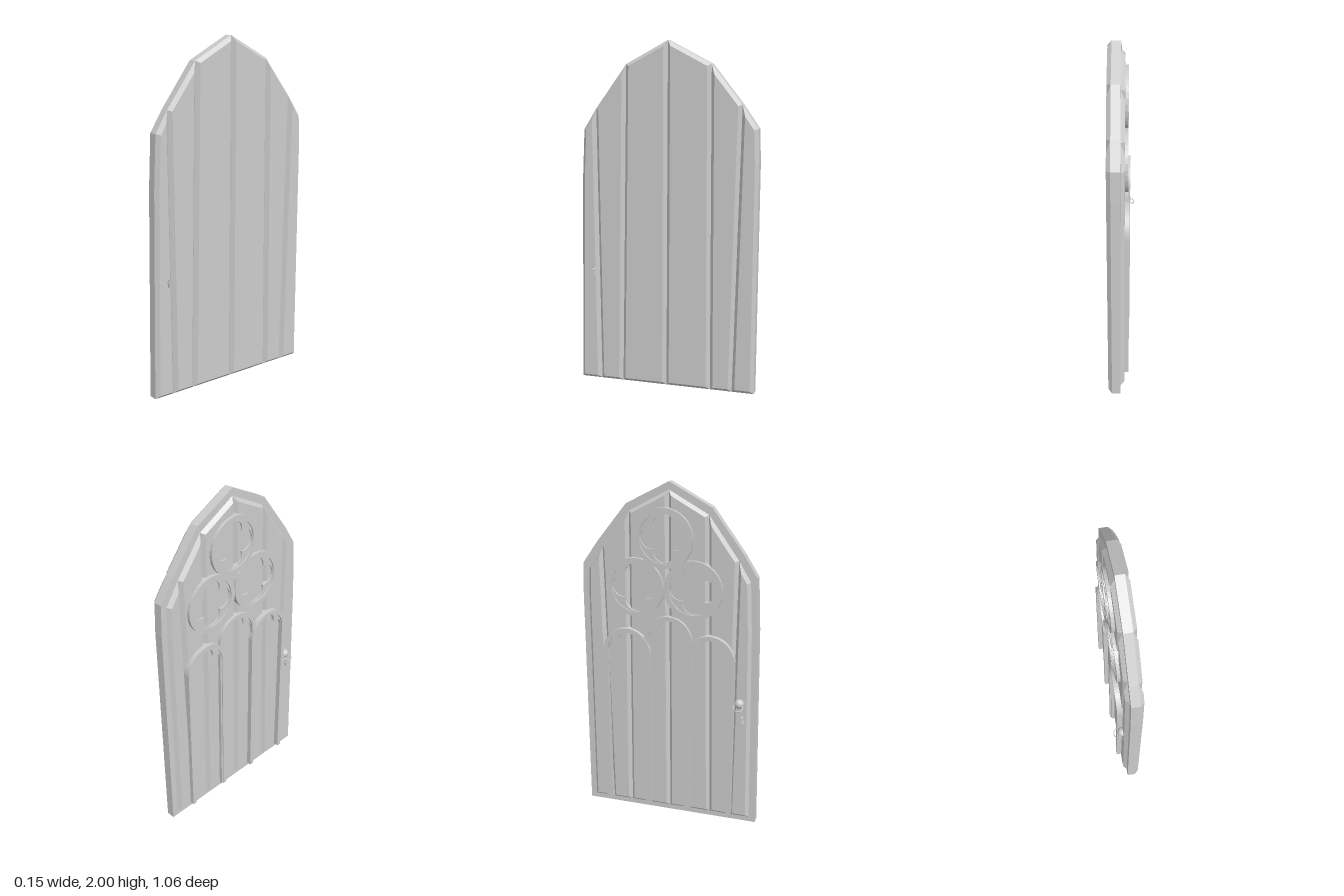
import * as THREE from 'three';

const mat = new THREE.MeshStandardMaterial({ color: 0xcccccc, flatShading: true });
const smooth = new THREE.MeshStandardMaterial({ color: 0xcccccc });
const V = (x, y) => new THREE.Vector2(x, y);

// Door silhouette as [z, y]; each groove runs from the bottom edge to an outline corner
const tops = [[0.425, 1.62], [0.24, 1.87], [-0.005, 2], [-0.255, 1.87], [-0.43, 1.65]];
const feet = [0.41, 0.275, 0.005, -0.26, -0.39];
const leftEdge = [[0.535, 0], [0.515, 1.2], [0.5, 1.5]];
const rightEdge = [[-0.52, 1.52], [-0.527, 1.34], [-0.52, 0]];
const outline = [...leftEdge, ...tops, ...rightEdge];
const planks = [
  [...leftEdge, tops[0], [feet[0], 0]],
  ...[0, 1, 2, 3].map(i => [[feet[i], 0], tops[i], tops[i + 1], [feet[i + 1], 0]]),
  [[feet[4], 0], tops[4], ...rightEdge],
];

function add(parent, geometry, name, material = mat) {
  const mesh = new THREE.Mesh(geometry, material);
  mesh.name = name;
  parent.add(mesh);
  return mesh;
}

function extrude(shape, from, to, curveSegments = 16) {
  return new THREE.ExtrudeGeometry(shape, { depth: to - from, bevelEnabled: false, curveSegments })
    .translate(0, 0, from);
}

const ccw = pts => (THREE.ShapeUtils.isClockWise(pts) ? pts.slice().reverse() : pts);

// Keyhole: round top with a slot below
function keyhole(cx) {
  const pts = [V(cx - 0.006, 0.645), V(cx + 0.006, 0.645)];
  for (let i = 0; i <= 10; i++) {
    const a = -1 + i / 10 * (Math.PI + 2);
    pts.push(V(cx + 0.011 * Math.cos(a), 0.68 + 0.011 * Math.sin(a)));
  }
  return ccw(pts);
}

// Move every edge of a counter-clockwise polygon inwards by d
function inset(pts, d) {
  const n = pts.length;
  return pts.map((p, i) => {
    const e1 = p.clone().sub(pts[(i + n - 1) % n]).normalize();
    const e2 = pts[(i + 1) % n].clone().sub(p).normalize();
    const n1 = V(-e1.y, e1.x), n2 = V(-e2.y, e2.x);
    return p.clone().addScaledVector(n1.clone().add(n2), d / (1 + n1.dot(n2)));
  });
}

// Raised board with sloping edges, optionally pierced
function board(pts, z0, z1, bevel, hole) {
  const low = ccw(pts), high = inset(low, bevel), pos = [];
  const wall = (a, b) => a.forEach((p, i) => {
    const j = (i + 1) % a.length, q = a[j], r = b[j], s = b[i];
    pos.push(p.x, p.y, z0, q.x, q.y, z0, r.x, r.y, z1, p.x, p.y, z0, r.x, r.y, z1, s.x, s.y, z1);
  });
  wall(low, high);
  const shape = new THREE.Shape(high);
  if (hole) {
    const inner = hole.slice().reverse();
    wall(inner, inner);
    shape.holes.push(new THREE.Path(hole));
  }
  const lid = new THREE.ShapeGeometry(shape).translate(0, 0, z1).toNonIndexed();
  pos.push(...lid.attributes.position.array);
  const g = new THREE.BufferGeometry();
  g.setAttribute('position', new THREE.Float32BufferAttribute(pos, 3));
  g.computeVertexNormals();
  return g;
}

// Scalloped curve with a lobe every quarter turn
function foil(scale, arc, steps) {
  const pts = [], d = 0.075, r = 0.062;
  for (let i = 0; i <= steps; i++) {
    const a = arc * i / steps;
    const t = a - Math.round(a / (Math.PI / 2)) * Math.PI / 2;
    const rad = scale * (d * Math.cos(t) + Math.sqrt(r * r - (d * Math.sin(t)) ** 2));
    pts.push(V(rad * Math.cos(a), rad * Math.sin(a)));
  }
  return pts;
}

// Round window: outer ring and thinner four-lobed plate
function roundel(parent, z, y) {
  const group = new THREE.Group();
  group.name = 'roundTracery';
  group.position.set(z, y, 0);
  parent.add(group);
  const ring = new THREE.Shape().absarc(0, 0, 0.17, 0, Math.PI * 2);
  ring.holes.push(new THREE.Path().absarc(0, 0, 0.142, 0, Math.PI * 2, true));
  add(group, extrude(ring, 0.005, 0.04), 'tracery ring');
  const plate = new THREE.Shape().absarc(0, 0, 0.15, 0, Math.PI * 2);
  plate.holes.push(new THREE.Path(foil(1, Math.PI * 2, 64).slice(0, -1)));
  add(group, extrude(plate, 0.005, 0.032), 'four-lobed plate');
}

// Tall arch: two shafts and a round head with cusps
function lancet(parent, z, spring, depth) {
  const R = 0.143, r = 0.117, foot = 0.05 - spring;
  const group = new THREE.Group();
  group.name = 'lancetArch';
  group.position.set(z, spring, 0);
  parent.add(group);
  const band = new THREE.Shape();
  band.moveTo(R, foot);
  band.lineTo(R, 0);
  band.absarc(0, 0, R, 0, Math.PI);
  band.lineTo(-R, foot);
  band.lineTo(-r, foot);
  band.lineTo(-r, 0);
  band.absarc(0, 0, r, Math.PI, 0, true);
  band.lineTo(r, foot);
  add(group, extrude(band, 0.005, depth), 'arch band');
  const cusps = new THREE.Shape().absarc(0, 0, 0.122, 0, Math.PI);
  foil(0.85, Math.PI, 32).reverse().forEach(p => cusps.lineTo(p.x, p.y));
  add(group, extrude(cusps, 0.005, depth - 0.01), 'arch cusps');
}

export function createModel() {
  const door = new THREE.Group();
  door.name = 'door';

  // Plain side faces +x, carved side faces -x
  const plain = new THREE.Group();
  plain.name = 'plainSide';
  plain.rotation.y = Math.PI / 2;
  const carved = new THREE.Group();
  carved.name = 'carvedSide';
  carved.rotation.y = -Math.PI / 2;
  door.add(plain, carved);

  // Core slab
  const slab = new THREE.Shape(ccw(outline.map(([z, y]) => V(-z, y))));
  slab.holes.push(new THREE.Path(keyhole(-0.447)));
  add(plain, extrude(slab, 0, 0.05), 'slab');

  // Boards on both sides, leaving a rim on the carved side
  planks.forEach((p, i) => {
    const pierced = i === 0;
    add(plain, board(p.map(([z, y]) => V(-z, y)), 0.05, 0.072, 0.02, pierced && keyhole(-0.447)), 'plank');
    add(carved, board(p.map(([z, y]) => V(z * 0.93, 0.03 + y * 0.963)), 0, 0.022, 0.018,
      pierced && keyhole(0.447)), 'carvedSidePlank');
  });

  // Tracery
  roundel(carved, -0.025, 1.692);
  roundel(carved, -0.195, 1.405);
  roundel(carved, 0.147, 1.41);
  lancet(carved, -0.25, 1.015, 0.047);
  lancet(carved, 0, 1.105, 0.041);
  lancet(carved, 0.25, 1.015, 0.051);

  // Knob with a tilted pull ring
  const knob = add(carved, new THREE.SphereGeometry(0.028, 16, 12), 'knob', smooth);
  knob.position.set(0.425, 0.765, 0.027);
  const ring = add(carved, new THREE.TorusGeometry(0.026, 0.003, 6, 24), 'pullRing', smooth);
  ring.position.set(0.425, 0.752, 0.054);
  ring.rotation.x = Math.PI / 2 + 0.6;

  return door;
}
